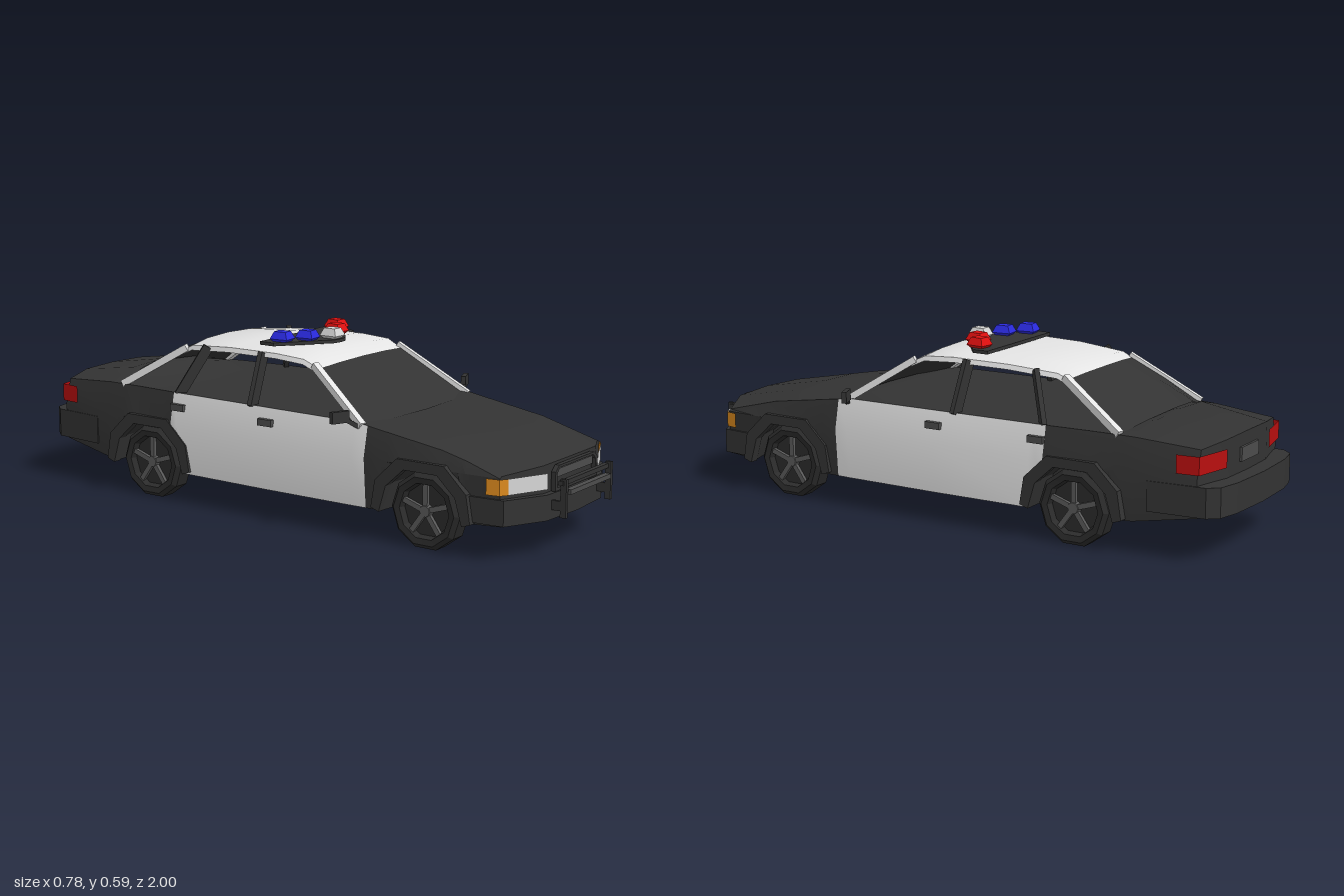
import * as THREE from 'three';
import { toCreasedNormals } from 'three/addons/utils/BufferGeometryUtils.js';

const mat = (name, color, side = THREE.FrontSide) => {
  const m = new THREE.MeshStandardMaterial({ color, side });
  m.name = name;
  return m;
};

export function createModel() {
  const car = new THREE.Group();
  car.name = 'patrolCar';
  const black = mat('blackPaint', 0x333333, THREE.DoubleSide);
  const white = mat('whitePaint', 0xe4e4e4);
  const trim = mat('greyTrim', 0x4c4c4c);
  const rubber = mat('rubber', 0x2b2b2b);
  const metal = mat('wheelMetal', 0x5a5a5a);
  const lamp = mat('clearLamp', 0xd6d6d6, THREE.DoubleSide);
  const amber = mat('amberLamp', 0xdd8a1e, THREE.DoubleSide);
  const tail = mat('tailRed', 0xb80f0f, THREE.DoubleSide);
  const red = mat('beaconRed', 0xe01010);
  const blue = mat('beaconBlue', 0x2a2ae0);

  const add = (name, geo, material, parent = car) => {
    const m = new THREE.Mesh(geo, material);
    m.name = name;
    parent.add(m);
    return m;
  };
  const box = (name, w, h, d, x, y, z, material, parent) => {
    const m = add(name, new THREE.BoxGeometry(w, h, d), material, parent);
    m.position.set(x, y, z);
    return m;
  };
  // square bar between two points
  const beam = (name, a, b, w, d, material) => {
    const p = new THREE.Vector3(...a), q = new THREE.Vector3(...b);
    const m = add(name, new THREE.BoxGeometry(w, d, p.distanceTo(q)), material);
    m.position.copy(p).add(q).multiplyScalar(0.5);
    m.lookAt(q);
  };
  const fromTriangles = pos => {
    const g = new THREE.BufferGeometry();
    g.setAttribute('position', new THREE.Float32BufferAttribute(pos.flat(), 3));
    g.computeVertexNormals();
    return toCreasedNormals(g, 0.45);
  };
  const quad = (out, a, b, c, d) => out.push(a, b, c, a, c, d);
  // surface through rows of points given from the centre line outwards
  const sheet = (name, halves, material) => {
    const rows = halves.map(h => [...h.slice(1).reverse().map(([x, y, z]) => [-x, y, z]), ...h]);
    const out = [];
    for (let i = 0; i + 1 < rows.length; i++)
      for (let j = 0; j + 1 < rows[i].length; j++)
        quad(out, rows[i][j], rows[i][j + 1], rows[i + 1][j + 1], rows[i + 1][j]);
    add(name, fromTriangles(out), material);
  };
  // thin upright strip along a plan path of [x, z]
  const strip = (name, path, y0, y1, material) => {
    const out = [];
    for (let i = 0; i + 1 < path.length; i++) {
      const [[x, z], [u, w]] = [path[i], path[i + 1]];
      quad(out, [x, y0, z], [u, y0, w], [u, y1, w], [x, y1, z]);
    }
    add(name, fromTriangles(out), material);
  };
  // symmetric plan outline of [x, z] raised from y0 to y1
  const slab = (name, half, y0, y1, material) => {
    const pts = [...half, ...half.slice().reverse().map(([x, z]) => [-x, z])];
    const g = new THREE.ExtrudeGeometry(new THREE.Shape(pts.map(([x, z]) => new THREE.Vector2(x, -z))),
      { depth: y1 - y0, bevelEnabled: false });
    add(name, g.rotateX(-Math.PI / 2), material).position.y = y0;
  };

  // Lower body profile: edge z, centre sweep, centre y, edge y, edge x, widest x, sill x, floor y
  const keys = [
    [0.86, 0.075, 0.285, 0.265, 0.295, 0.305, 0.295, 0.11],
    [0.655, 0.02, 0.333, 0.318, 0.302, 0.321, 0.308, 0.1],
    [0.34, 0.01, 0.362, 0.366, 0.31, 0.331, 0.319, 0.1],
    [0, 0, 0.36, 0.368, 0.31, 0.333, 0.32, 0.1],
    [-0.4, 0, 0.36, 0.368, 0.3, 0.322, 0.312, 0.1],
    [-0.56, 0, 0.365, 0.367, 0.288, 0.312, 0.305, 0.1],
    [-0.7, -0.01, 0.402, 0.364, 0.277, 0.301, 0.294, 0.105],
    [-0.91, -0.035, 0.364, 0.348, 0.256, 0.28, 0.272, 0.14],
  ];
  const profileAt = z => {
    const i = Math.max(1, keys.findIndex(k => k[0] <= z)), a = keys[i - 1], b = keys[i];
    return a.map((v, n) => THREE.MathUtils.lerp(v, b[n], (z - a[0]) / (b[0] - a[0])));
  };
  // Stations [z, bottom y], with the wheel arches cut into the bottom edge
  const doorFront = 0.387, doorRear = -0.4;
  const cuts = [[doorFront], [doorRear, 0.212], ...keys.filter(k => ![0.655, -0.4, -0.56].includes(k[0])).map(k => [k[0]])];
  for (const wheelZ of [0.595, -0.5])
    for (const [d, y] of [[0.15], [0.125, 0.19], [0.06, 0.25]]) cuts.push([wheelZ + d, y], [wheelZ - d, y]);
  cuts.sort((a, b) => b[0] - a[0]);
  const rings = cuts.map(([cutZ, archY]) => {
    const [z, s, yc, ye, xe, xs, xl, floor] = profileAt(cutZ);
    const yb = archY ?? floor, xm = xe * 0.55, zm = z + s * 0.87;
    const r = [[0, yc, z + s], [xm, yc * 0.8 + ye * 0.2, zm], [xe, ye, z], [xs, 0.26, z],
      [xl, yb, z], [xm, yb, zm], [0, yb, z + s]];
    return [...r, ...r.slice(1, 6).reverse().map(([x, y, w]) => [-x, y, w])];
  });
  const dark = [], doors = [];
  for (let i = 0; i + 1 < rings.length; i++)
    for (let j = 0; j < 12; j++) {
      const k = (j + 1) % 12;
      const isDoor = cuts[i][0] <= doorFront && cuts[i + 1][0] >= doorRear && [2, 3, 8, 9].includes(j);
      quad(isDoor ? doors : dark, rings[i][j], rings[i][k], rings[i + 1][k], rings[i + 1][j]);
    }
  for (const c of [[0, 6, 5, 1], [1, 5, 4, 2], [2, 4, 3, 3], [0, 11, 7, 6], [11, 10, 8, 7], [10, 9, 8, 8]]) {
    quad(dark, ...c.map(i => rings[0][i]));
    quad(dark, ...c.slice().reverse().map(i => rings[rings.length - 1][i]));
  }
  add('body', fromTriangles(dark), black);
  add('doors', fromTriangles(doors), white);
  box('chassis', 0.42, 0.17, 1.48, 0, 0.191, 0.04, black);

  // Bumpers
  slab('frontBumper', [[0, 0.955], [0.17, 0.944], [0.306, 0.875], [0.316, 0.76], [0, 0.76]], 0.115, 0.195, black);
  slab('rearBumper', [[0, -1], [0.17, -0.992], [0.25, -0.975], [0.28, -0.94], [0.297, -0.75], [0, -0.75]], 0.145, 0.24, black);

  // Roof, lining and screens
  const roofRows = [[0.145, 0.012, 0.508, 0.498, 0.232], [0.09, 0.012, 0.533, 0.523, 0.238], [-0.02, 0, 0.542, 0.53, 0.238],
    [-0.22, 0, 0.538, 0.527, 0.228], [-0.39, -0.02, 0.527, 0.514, 0.212], [-0.425, -0.02, 0.51, 0.498, 0.208]]
    .map(([z, s, yc, ye, x]) => [[0, yc, z + s], [x * 0.55, yc - 0.003, z + s * 0.7], [x, ye, z], [x + 0.006, ye - 0.016, z]]);
  sheet('roof', roofRows, white);
  sheet('roofLining', roofRows.map(r => r.slice(0, 3).map(([x, y, z]) => [x, y - 0.012, z])), black);
  sheet('windscreen', [[[0, 0.36, 0.403], [0.165, 0.36, 0.393], [0.302, 0.352, 0.362]],
    [[0, 0.508, 0.157], [0.128, 0.505, 0.153], [0.232, 0.498, 0.145]]], black);
  sheet('rearWindow', [[[0, 0.51, -0.445], [0.115, 0.507, -0.439], [0.206, 0.498, -0.425]],
    [[0, 0.46, -0.575], [0.13, 0.455, -0.565], [0.238, 0.437, -0.53]],
    [[0, 0.4, -0.69], [0.15, 0.392, -0.68], [0.27, 0.364, -0.64]]], black);

  for (const s of [1, -1]) {
    const side = s > 0 ? 'left' : 'right';
    // Pillars
    beam(side + 'FrontPillar', [s * 0.306, 0.355, 0.365], [s * 0.234, 0.508, 0.13], 0.022, 0.022, white);
    beam(side + 'RearPillar', [s * 0.275, 0.365, -0.645], [s * 0.21, 0.504, -0.415], 0.022, 0.024, white);
    beam(side + 'CentrePillar', [s * 0.304, 0.36, -0.068], [s * 0.235, 0.525, -0.075], 0.016, 0.042, black);
    beam(side + 'QuarterPillar', [s * 0.29, 0.36, -0.385], [s * 0.222, 0.518, -0.315], 0.016, 0.034, black);

    // Mirrors and door handles
    beam(side + 'MirrorArm', [s * 0.305, 0.35, 0.35], [s * 0.345, 0.378, 0.325], 0.014, 0.014, black);
    box(side + 'Mirror', 0.062, 0.037, 0.016, s * 0.36, 0.386, 0.318, black).rotation.y = s * 0.4;
    for (const [z, x] of [[0.002, 0.326], [-0.372, 0.315]])
      box(side + 'DoorHandle', 0.016, 0.022, 0.055, s * x, 0.322, z, trim);

    // Lamps
    const m = path => path.map(([x, z]) => [s * x, z]);
    strip(side + 'Headlamp', m([[0.155, 0.937], [0.285, 0.878]]), 0.208, 0.258, lamp);
    strip(side + 'IndicatorLamp', m([[0.285, 0.878], [0.31, 0.862], [0.318, 0.82]]), 0.208, 0.258, amber);
    strip(side + 'TailLamp', m([[0.15, -0.945], [0.284, -0.918], [0.292, -0.845]]), 0.275, 0.333, tail);

    // Wheel arches
    for (const [z, x] of [[0.595, 0.332], [-0.5, 0.325]]) {
      const outer = [[-0.18, 0.11], [-0.165, 0.2], [-0.085, 0.277], [0.085, 0.277], [0.165, 0.2], [0.18, 0.11]];
      const inner = [[0.15, 0.1], [0.125, 0.185], [0.06, 0.245], [-0.06, 0.245], [-0.125, 0.185], [-0.15, 0.1]];
      const shape = new THREE.Shape([...outer, ...inner].map(p => new THREE.Vector2(...p)));
      const g = new THREE.ExtrudeGeometry(shape, { depth: 0.03, bevelEnabled: false }).rotateY(-Math.PI / 2);
      add(side + 'WheelArch', g, black).position.set(s > 0 ? x : 0.03 - x, 0, z);

      // Wheels
      const wheel = new THREE.Group();
      wheel.name = side + (z > 0 ? 'FrontWheel' : 'RearWheel');
      wheel.position.set(s * 0.27, 0.118, z);
      wheel.rotation.y = s > 0 ? 0 : Math.PI;
      car.add(wheel);
      const turn = (name, pts, material) => add(name, toCreasedNormals(new THREE.LatheGeometry(
        pts.map(p => new THREE.Vector2(...p)), 10).rotateZ(-Math.PI / 2), 0.4), material, wheel);
      turn('tyre', [[0, -0.04], [0.108, -0.04], [0.124, -0.026], [0.124, 0.026], [0.11, 0.04], [0.09, 0.037]], rubber);
      turn('rim', [[0.09, 0.037], [0.083, 0.016], [0, 0.016]], rubber);
      turn('hub', [[0.022, 0.016], [0.018, 0.034], [0, 0.034]], metal);
      for (let k = 0; k < 5; k++) {
        const a = k * Math.PI * 0.4;
        box('spoke', 0.012, 0.075, 0.017, 0.025, Math.cos(a) * 0.047, Math.sin(a) * 0.047, metal, wheel).rotation.x = a;
      }
    }

    // Push bar uprights
    box(side + 'PushBarUpright', 0.012, 0.12, 0.02, s * 0.14, 0.185, 0.985, black);
    box(side + 'PushBarMount', 0.01, 0.03, 0.07, s * 0.14, 0.16, 0.955, black);
  }
  box('pushBarTop', 0.3, 0.014, 0.016, 0, 0.232, 0.978, black);
  box('pushBarLower', 0.25, 0.015, 0.02, 0, 0.203, 0.99, trim);

  // Grille frame with a hole, and its slat
  const outline = (w, t, y0, y1, y2) => [[-w, y0], [w, y0], [w, y1], [t, y2], [-t, y2], [-w, y1]].map(p => new THREE.Vector2(...p));
  const frame = new THREE.Shape(outline(0.13, 0.11, 0.198, 0.258, 0.276));
  frame.holes.push(new THREE.Path(outline(0.118, 0.104, 0.208, 0.254, 0.268)));
  add('grilleFrame', new THREE.ExtrudeGeometry(frame, { depth: 0.015, bevelEnabled: false }), black).position.z = 0.934;
  box('grilleSlat', 0.224, 0.025, 0.012, 0, 0.25, 0.936, trim);
  box('rearPlate', 0.12, 0.045, 0.008, 0, 0.298, -0.948, trim);

  // Roof light bar
  slab('lightBarBase', [[0, 0.065], [0.03, 0.062], [0.195, -0.065], [0.195, -0.12], [0, -0.12]], 0.542, 0.553, black);
  const beacon = [[0, 0.553], [0.021, 0.553], [0.029, 0.562], [0.019, 0.586], [0, 0.586]]
    .map(([r, y]) => new THREE.Vector2(r * Math.SQRT2, y));
  for (const [x, z, material] of [[-0.15, -0.062, blue], [-0.08, -0.012, blue], [0, 0.03, lamp], [0.08, -0.012, red], [0.15, -0.062, red]]) {
    const g = new THREE.LatheGeometry(beacon, 4).rotateY(Math.PI / 4).scale(0.95, 1, 1.1);
    const m = add('beacon', toCreasedNormals(g, 0.2), material);
    m.position.set(x, 0, z);
    m.rotation.y = -Math.sign(x) * 0.12;
  }
  return car;
}
